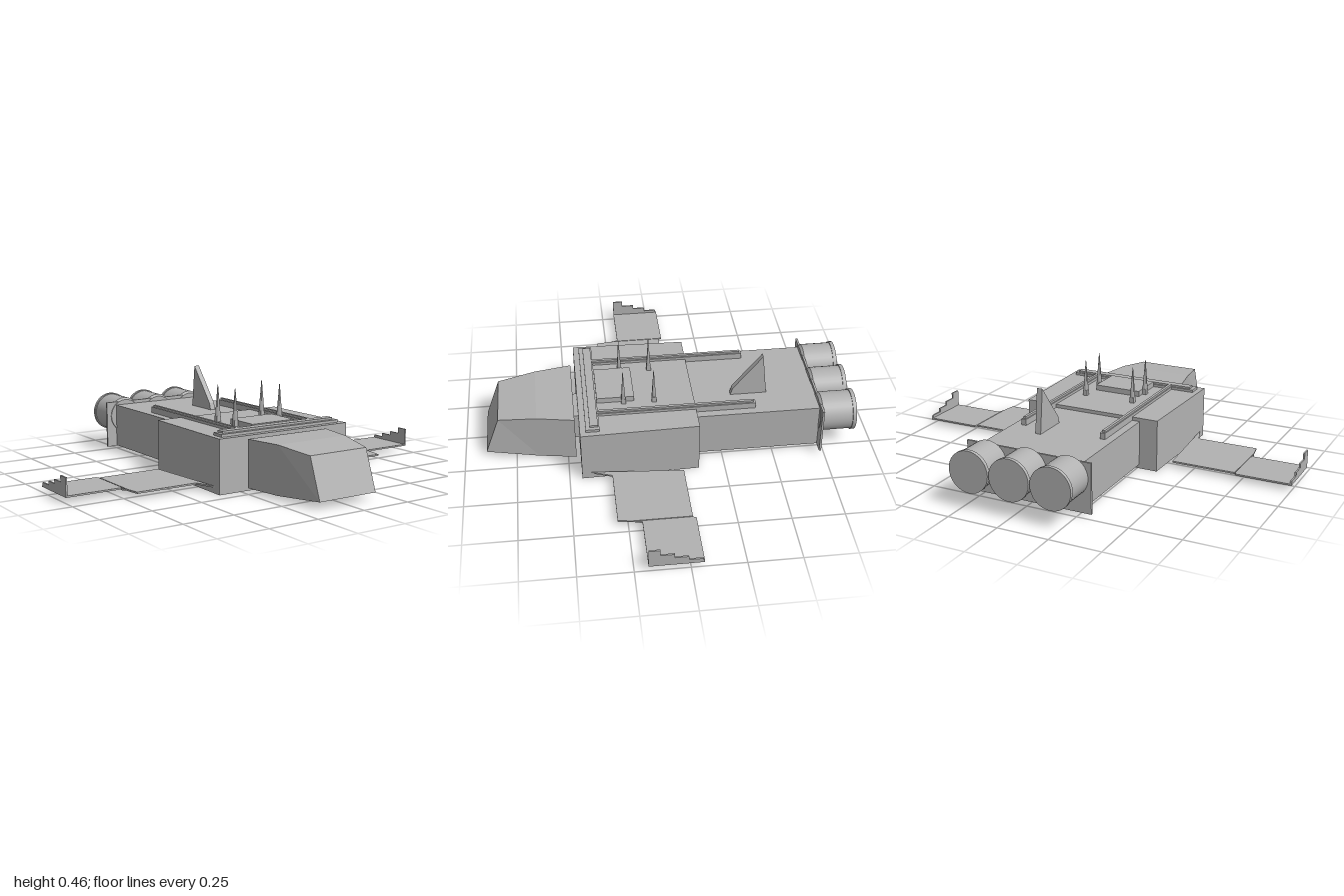
import * as THREE from 'three';

const grey = new THREE.MeshStandardMaterial({ color: 0xb2b2b2 });
grey.name = 'hull grey';

export function createModel() {
  const model = new THREE.Group();
  model.name = 'spacecraft';

  const add = (name, geometry, x = 0, y = 0, z = 0) => {
    const mesh = new THREE.Mesh(geometry, grey);
    mesh.name = name;
    mesh.position.set(x, y, z);
    model.add(mesh);
    return mesh;
  };
  const extrude = (points, depth) => new THREE.ExtrudeGeometry(
    new THREE.Shape(points.map(([a, b]) => new THREE.Vector2(a, b))),
    { depth, bevelEnabled: false });
  // Plan outline [x, z] raised from y0 to y1
  const slab = (name, points, y0, y1) =>
    add(name, extrude(points.map(([x, z]) => [x, -z]), y1 - y0).rotateX(-Math.PI / 2), 0, y0);
  // Side outline [z, y] spanning x0 to x1
  const sidePlate = (name, points, x0, x1) =>
    add(name, extrude(points.map(([z, y]) => [-z, y]), x1 - x0).rotateY(Math.PI / 2), x0);
  // Box given by its limits
  const block = (name, x0, x1, y0, y1, z0, z1) =>
    add(name, new THREE.BoxGeometry(x1 - x0, y1 - y0, z1 - z0),
      (x0 + x1) / 2, (y0 + y1) / 2, (z0 + z1) / 2);

  // Hull
  slab('mainHull', [[-0.352, -0.125], [0.352, -0.125], [0.366, 0.44], [-0.366, 0.44]], 0, 0.257);
  block('rearHull', -0.26, 0.26, 0.02, 0.24, -0.725, -0.12);
  block('enginePlate', -0.315, 0.315, 0.017, 0.257, -0.735, -0.725);
  block('neck', -0.09, 0.09, 0.03, 0.165, 0.43, 0.47);

  // Nose, lofted through rectangular sections
  const sections = [ // half width, bottom y, bottom z, top y, top z
    [0.225, 0.018, 0.46, 0.245, 0.46],
    [0.192, 0.015, 0.64, 0.245, 0.64],
    [0.157, 0.035, 0.895, 0.225, 0.825],
  ].map(([w, yb, zb, yt, zt]) => [[-w, yb, zb], [w, yb, zb], [w, yt, zt], [-w, yt, zt]]);
  const verts = [];
  const quad = (a, b, c, d) => verts.push(...a, ...b, ...c, ...a, ...c, ...d);
  for (let i = 0; i < 2; i++) {
    for (let k = 0; k < 4; k++) {
      const n = (k + 1) % 4;
      quad(sections[i][k], sections[i][n], sections[i + 1][n], sections[i + 1][k]);
    }
  }
  quad(...sections[2]);
  quad(...[...sections[0]].reverse());
  const nose = new THREE.BufferGeometry();
  nose.setAttribute('position', new THREE.Float32BufferAttribute(verts, 3));
  nose.computeVertexNormals();
  add('nose', nose);

  // Raised deck details
  block('frontCrossbar', -0.337, 0.337, 0.25, 0.27, 0.347, 0.412);
  block('crossbarRidge', -0.318, 0.318, 0.265, 0.28, 0.353, 0.392);
  block('deckHatch', -0.12, 0.12, 0.25, 0.284, 0.165, 0.347);
  sidePlate('tailFin', [[-0.31, 0.24], [-0.32, 0.275], [-0.465, 0.455], [-0.488, 0.24]], 0.075, 0.103);

  for (const s of [-1, 1]) {
    const side = s > 0 ? 'left' : 'right';

    // Long rail with a raised centre strip
    const rx = s * 0.208;
    block(side + 'Rail', rx - 0.013, rx + 0.013, 0.235, 0.27, -0.415, 0.36);
    block(side + 'RailRidge', rx - 0.007, rx + 0.007, 0.265, 0.28, -0.405, 0.36);

    // Antennas
    for (const z of [0.07, 0.218]) {
      block(side + 'AntennaBase', s * 0.13 - 0.011, s * 0.13 + 0.011, 0.25, 0.285, z - 0.011, z + 0.011);
      add(side + 'Antenna', new THREE.CylinderGeometry(0.0015, 0.014, 0.155, 4).rotateY(Math.PI / 4),
        s * 0.13, 0.36, z);
    }

    // Wing panels, hinge and stepped winglet
    const mirror = points => points.map(([x, z]) => [s * x, z]);
    slab(side + 'InnerWing', mirror([[0.4, -0.045], [0.718, -0.045], [0.718, 0.235],
      [0.708, 0.298], [0.4, 0.298], [0.364, 0.4]]), 0.026, 0.034);
    slab(side + 'OuterWing', mirror([[0.728, -0.06], [0.998, -0.06], [0.998, 0.187],
      [0.728, 0.187], [0.722, 0.22], [0.722, -0.045]]), 0.026, 0.034);
    block(side + 'WingHinge', s * 0.72 - 0.006, s * 0.72 + 0.006, 0.023, 0.03, -0.04, 0.2);
    const wx = s * 0.996;
    sidePlate(side + 'Winglet', [[0.187, 0.026], [0.187, 0.117], [0.135, 0.117], [0.135, 0.087],
      [0.072, 0.087], [0.072, 0.067], [0.01, 0.067], [0.01, 0.048], [-0.053, 0.048],
      [-0.06, 0.026]], wx - 0.004, wx + 0.004);
  }

  // Three engines with rear rims, turned to point backwards
  const drum = (name, radius, z0, z1, x) => add(name,
    new THREE.CylinderGeometry(radius, radius, z1 - z0, 32).rotateX(Math.PI / 2), x, 0.18, (z0 + z1) / 2);
  for (const x of [-0.205, 0, 0.205]) {
    drum('engineDrum', 0.095, -0.895, -0.735, x);
    drum('engineRim', 0.1, -0.9, -0.882, x);
    add('engineFront', new THREE.CylinderGeometry(0.085, 0.095, 0.012, 32)
      .rotateX(Math.PI / 2), x, 0.18, -0.729);
  }

  return model;
}
